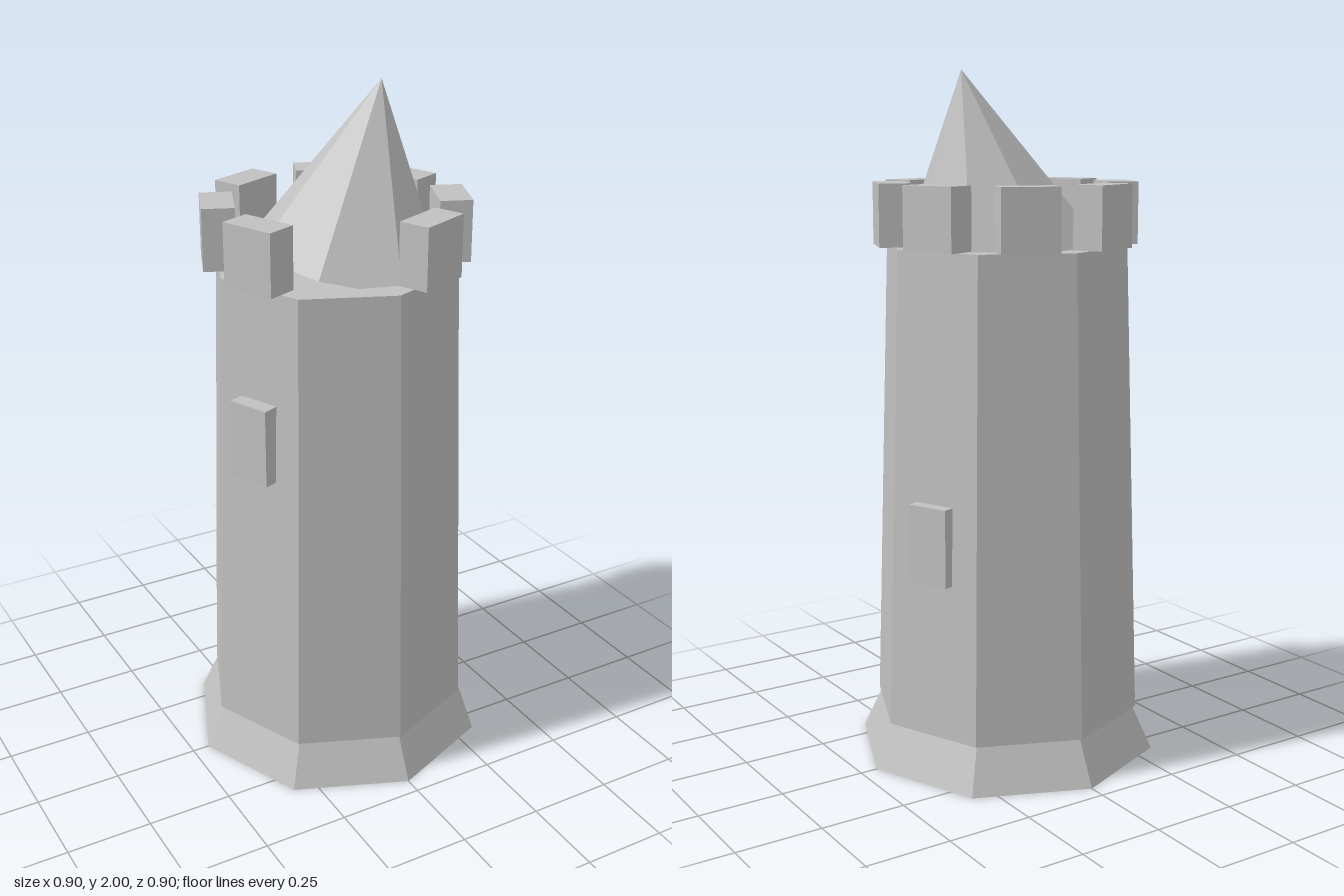
import * as THREE from 'three';

const stone = new THREE.MeshStandardMaterial({ color: 0xc0c0c0 });
stone.name = 'grey stone';

export function createModel() {
  const tower = new THREE.Group();
  tower.name = 'tower';

  const add = (name, geometry) => {
    // split vertices so every facet keeps its own flat normal
    const flat = geometry.index ? geometry.toNonIndexed() : geometry;
    flat.computeVertexNormals();
    const mesh = new THREE.Mesh(flat, stone);
    mesh.name = name;
    tower.add(mesh);
    return mesh;
  };

  // Eight-sided tapered section between two heights
  const section = (name, rTop, rBottom, y0, y1) =>
    add(name, new THREE.CylinderGeometry(rTop, rBottom, y1 - y0, 8).translate(0, (y0 + y1) / 2, 0));

  // Block facing outwards; angle is measured from +z towards +x
  const block = (name, width, height, depth, radius, y, angle) => {
    const mesh = add(name, new THREE.BoxGeometry(width, height, depth));
    mesh.position.set(Math.sin(angle) * radius, y, Math.cos(angle) * radius);
    mesh.rotation.y = angle;
  };

  section('foot', 0.39, 0.45, 0, 0.13);
  section('shaft', 0.355, 0.4, 0.13, 1.51);

  // Battlements: one per wall, with the front one on the -x side missing
  for (let i = 0; i < 7; i++) {
    block('battlement', 0.163, 0.178, 0.092, 0.327, 1.601, (i + 0.5) * Math.PI / 4);
  }

  // Raised window blocks
  block('rightBackWindow', 0.125, 0.225, 0.06, 0.355, 0.695, 5 * Math.PI / 8);
  block('leftFrontWindow', 0.125, 0.228, 0.06, 0.355, 1.074, -3 * Math.PI / 8);

  // Crooked roof: a cone with a slanted base and its tip pushed sideways
  const height = 0.517;
  const roof = new THREE.ConeGeometry(0.304, height, 8).translate(0, height / 2, 0);
  roof.applyMatrix4(new THREE.Matrix4().set(
    0.967, 0.108 / height, 0, 0.038,
    -0.242, 1, 0, 1.483,
    0, 0, 1, 0,
    0, 0, 0, 1
  ));
  add('roof', roof);

  return tower;
}
